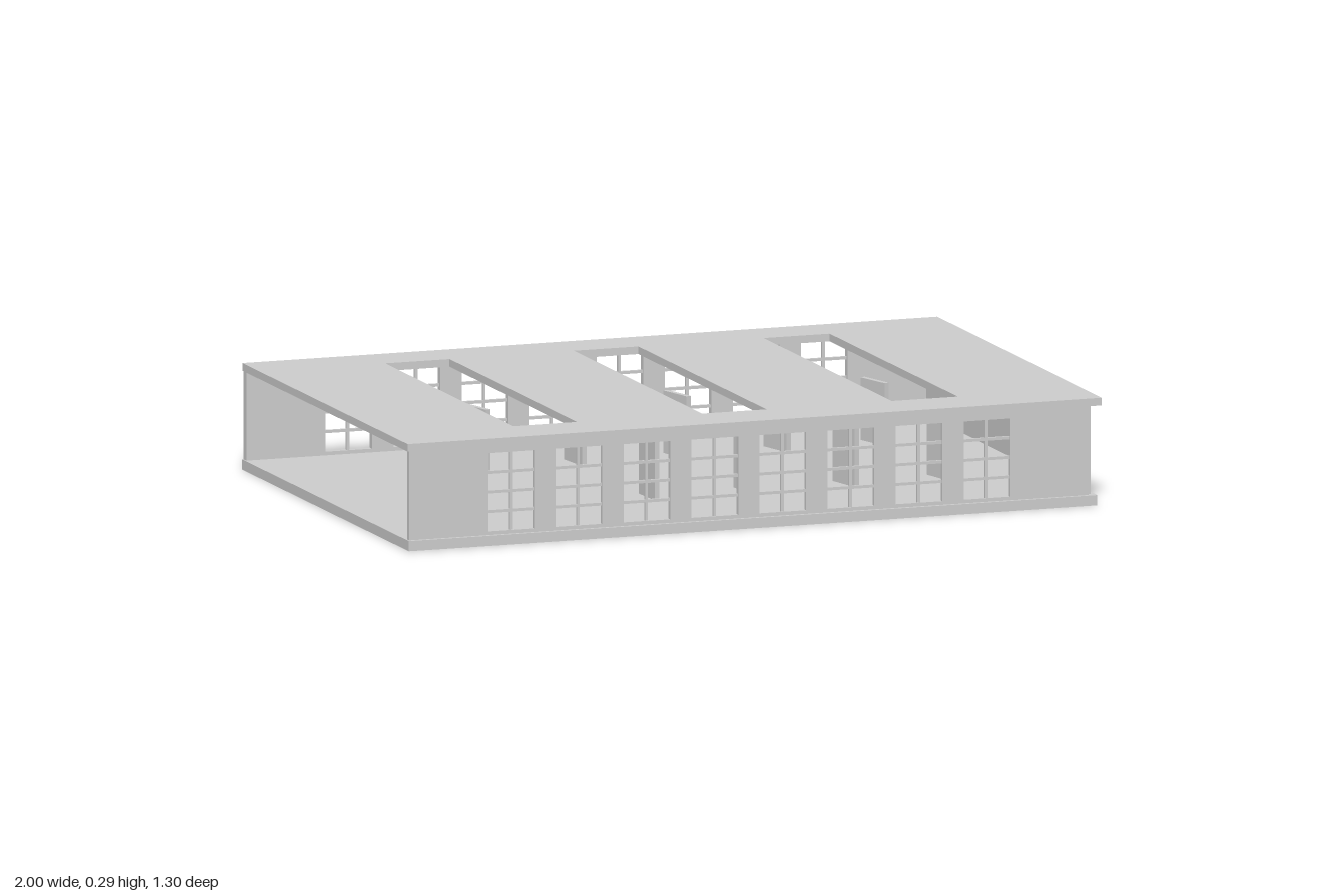
import * as THREE from 'three';

const material = new THREE.MeshStandardMaterial({ color: 0xcccccc, flatShading: true });

// Box given by its limits on each axis
function box(name, x0, x1, y0, y1, z0, z1) {
  const mesh = new THREE.Mesh(new THREE.BoxGeometry(x1 - x0, y1 - y0, z1 - z0), material);
  mesh.position.set((x0 + x1) / 2, (y0 + y1) / 2, (z0 + z1) / 2);
  mesh.name = name;
  return mesh;
}

function trace(path, x0, x1, y0, y1) {
  path.moveTo(x0, y0);
  path.lineTo(x1, y0);
  path.lineTo(x1, y1);
  path.lineTo(x0, y1);
  path.closePath();
  return path;
}

// Rectangular plate in xy with rectangular holes, extruded along z
function plate(outline, holes, depth) {
  const shape = trace(new THREE.Shape(), ...outline);
  for (const h of holes) shape.holes.push(trace(new THREE.Path(), ...h));
  return new THREE.ExtrudeGeometry(shape, { depth, bevelEnabled: false });
}

const FLOOR = 0.028, CEILING = 0.272, TOP = 0.293;
const WINDOW = { first: -0.768, pitch: 0.1956, width: 0.134, y0: 0.038, y1: 0.253 };

// Long wall with a row of eight barred windows
function windowWall(name, z0, z1) {
  const group = new THREE.Group();
  group.name = name;
  const holes = [];
  const zMid = (z0 + z1) / 2;
  const { first, pitch, width, y0, y1 } = WINDOW;
  for (let i = 0; i < 8; i++) {
    const x0 = first + i * pitch, x1 = x0 + width, xMid = (x0 + x1) / 2;
    holes.push([x0, x1, y0, y1]);
    group.add(box('windowMullion', xMid - 0.004, xMid + 0.004, y0, y1, zMid - 0.004, zMid + 0.004));
    for (let r = 1; r < 4; r++) {
      const y = y0 + (y1 - y0) * r / 4;
      group.add(box('windowBar', x0, x1, y - 0.004, y + 0.004, zMid - 0.004, zMid + 0.004));
    }
  }
  const wall = new THREE.Mesh(plate([-0.996, 0.963, FLOOR, CEILING], holes, z1 - z0), material);
  wall.position.z = z0;
  wall.name = name + 'Panel';
  group.add(wall);
  return group;
}

export function createModel() {
  const model = new THREE.Group();
  model.name = 'hall';

  // Floor slab, long walls and the one closed end
  model.add(box('floorSlab', -1, 0.984, 0, FLOOR, -0.651, 0.651));
  model.add(windowWall('frontWall', 0.628, 0.641));
  model.add(windowWall('backWall', -0.648, -0.628));
  model.add(box('endWall', 0.961, 0.973, FLOOR, CEILING, -0.628, 0.628));

  // Roof with three long skylight openings (shape y becomes -z)
  const skylights = [[-0.64, -0.455], [-0.095, 0.09], [0.45, 0.64]]
    .map(([a, b]) => [a, b, -0.49, 0.51]);
  const roof = new THREE.Mesh(plate([-1, 1, -0.642, 0.648], skylights, TOP - CEILING), material);
  roof.rotation.x = -Math.PI / 2;
  roof.position.y = CEILING;
  roof.name = 'roof';
  model.add(roof);

  // Two rows of thin, slightly turned interior partitions
  const rows = [
    { z: -0.295, xs: [-0.458, -0.17, 0.122, 0.41, 0.69], turns: [0.28, 0.1, 0.25, 0.25, 0.28] },
    { z: 0.255, xs: [-0.46, -0.161, 0.118, 0.404, 0.675], turns: [-0.12, 0.05, 0.2, 0.22, 0.23] },
  ];
  for (const { z, xs, turns } of rows) {
    xs.forEach((x, i) => {
      const panel = box('partition', x - 0.007, x + 0.007, 0, 0.2, z - 0.055, z + 0.055);
      panel.rotation.y = turns[i];
      model.add(panel);
    });
  }
  return model;
}
